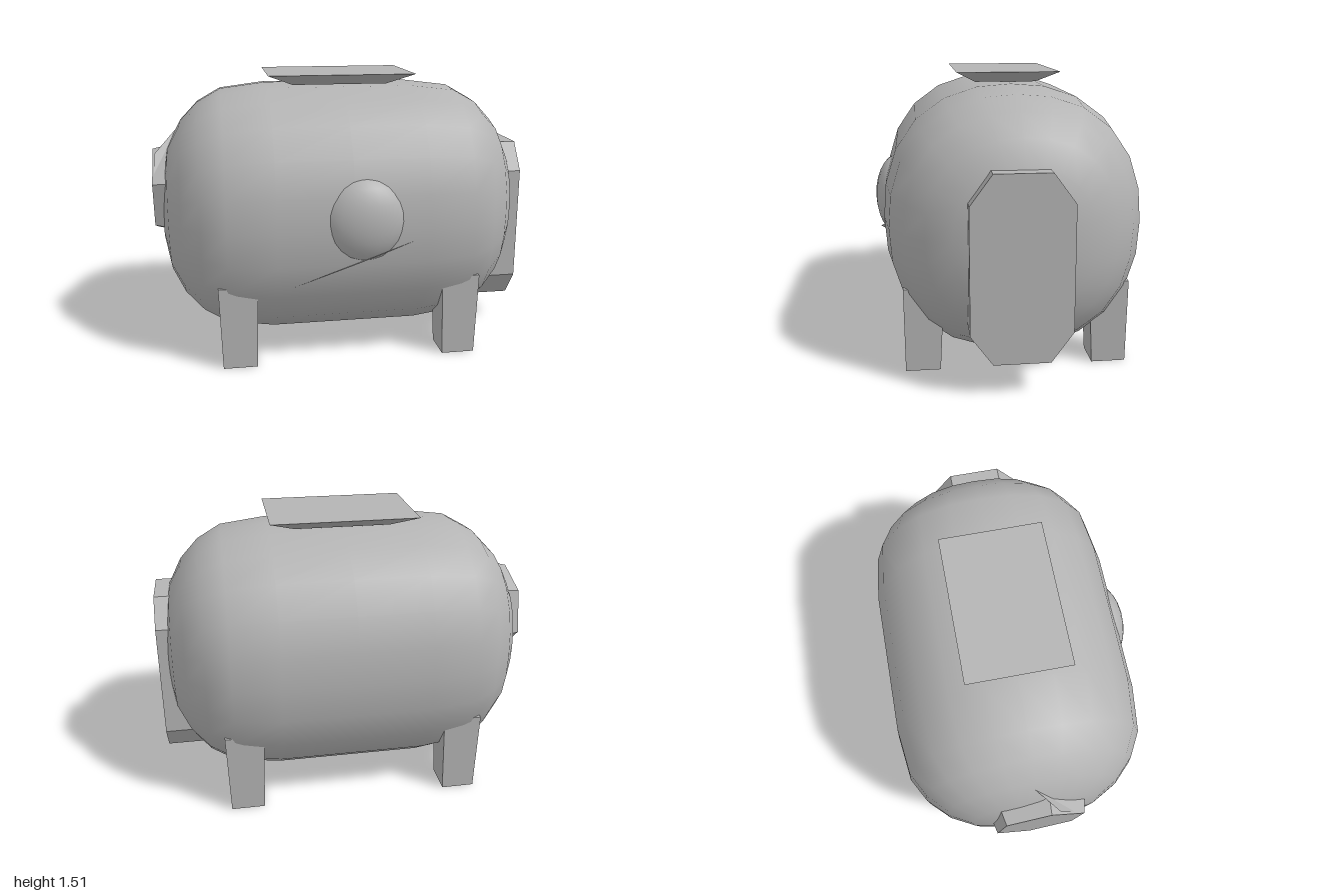
import * as THREE from 'three';
import { mergeVertices } from 'three/addons/utils/BufferGeometryUtils.js';

export function createModel() {
  const grey = new THREE.MeshStandardMaterial({ color: 0xb4b4b4 });
  grey.name = 'grey';
  const greyThin = grey.clone();
  greyThin.name = 'grey two-sided';
  greyThin.side = THREE.DoubleSide;

  const model = new THREE.Group();
  model.name = 'barrelBeast';
  // the long axis lies diagonally on the ground
  const parts = new THREE.Group();
  parts.name = 'turnedBody';
  parts.rotation.y = -0.57;
  model.add(parts);

  const add = (name, geo, x = 0, y = 0, z = 0, mat = grey) => {
    const mesh = new THREE.Mesh(geo, mat);
    mesh.name = name;
    mesh.position.set(x, y, z);
    parts.add(mesh);
    return mesh;
  };
  const flat = (geo) => {
    const g = geo.index ? geo.toNonIndexed() : geo;
    g.computeVertexNormals();
    return g;
  };
  const triangle = (name, ...pts) => {
    const g = new THREE.BufferGeometry().setFromPoints(pts.map((p) => new THREE.Vector3(...p)));
    g.computeVertexNormals();
    return add(name, g, 0, 0, 0, greyThin);
  };

  // body: a rounded barrel whose section is squared off a little
  const half = [[0.4, 1], [0.65, 0.955], [0.78, 0.85], [0.88, 0.7], [0.95, 0.51], [0.985, 0.28], [0.99, 0]];
  const profile = [
    ...half.map(([v, r]) => new THREE.Vector2(r, -v)).reverse(),
    new THREE.Vector2(1, 0),
    ...half.map(([v, r]) => new THREE.Vector2(r, v)),
  ];
  let body = new THREE.LatheGeometry(profile, 24).rotateX(Math.PI / 2);
  const p = body.attributes.position;
  for (let i = 0; i < p.count; i++) {
    const x = p.getX(i), y = p.getY(i), r = Math.hypot(x, y);
    if (r < 1e-6) continue;
    const c = x / r, s = y / r, n = 2.3;
    const k = r / Math.pow(Math.abs(c) ** n + Math.abs(s) ** n, 1 / n);
    p.setXY(i, c * k * 0.675, s * k * 0.695);
  }
  body.deleteAttribute('uv');
  body.deleteAttribute('normal');
  body = mergeVertices(body, 1e-4);
  body.computeVertexNormals();
  add('body', body, 0, 0.755, 0);

  // four stubby legs, wider where they join the body
  for (const sx of [-1, 1]) for (const sz of [-1, 1]) {
    const leg = new THREE.BoxGeometry(0.18, 0.45, 0.18);
    const q = leg.attributes.position;
    for (let i = 0; i < q.count; i++) {
      if (q.getY(i) > 0) q.setXYZ(i, q.getX(i) * 1.15 - sx * 0.01, q.getY(i), q.getZ(i) * 1.15);
    }
    add((sz > 0 ? 'front' : 'back') + (sx > 0 ? 'Left' : 'Right') + 'Leg', flat(leg), sx * 0.49, 0.225, sz * 0.6);
  }

  // six-sided snout plate and the small fold above it
  const snout = new THREE.CylinderGeometry(0.245, 0.27, 0.1, 6).rotateX(Math.PI / 2).rotateZ(-0.2);
  add('snout', flat(snout), 0.01, 0.86, 0.98);
  triangle('snoutFold', [-0.02, 1.21, 0.89], [0.11, 1.08, 1.02], [0.23, 0.94, 1.02]);

  // tall eight-sided hatch on the back end
  const w = 0.25, h = 0.465, cx = 0.11, cy = 0.15;
  const outline = new THREE.Shape([
    [w - cx, -h], [w, -h + cy], [w, h - cy], [w - cx, h],
    [-w + cx, h], [-w, h - cy], [-w, -h + cy], [-w + cx, -h],
  ].map(([x, y]) => new THREE.Vector2(x, y)));
  const hatch = new THREE.ExtrudeGeometry(outline, { depth: 0.2, bevelEnabled: false });
  add('backHatch', hatch, 0.02, 0.635, -1.03);

  // flared plate on top
  const plate = new THREE.BoxGeometry(0.545, 0.06, 0.8);
  const t = plate.attributes.position;
  for (let i = 0; i < t.count; i++) {
    if (t.getY(i) < 0) t.setXYZ(i, t.getX(i) * 0.6, t.getY(i), t.getZ(i) * 0.65);
  }
  add('topPlate', flat(plate), 0.01, 1.48, 0);

  // soft swelling on the side with a thin fold under it
  add('sideSwelling', new THREE.SphereGeometry(1, 20, 14).scale(0.13, 0.23, 0.23), 0.6, 0.8, -0.06);
  triangle('sideFold', [0.65, 0.46, 0.33], [0.71, 0.61, -0.04], [0.67, 0.7, -0.33]);
  return model;
}
